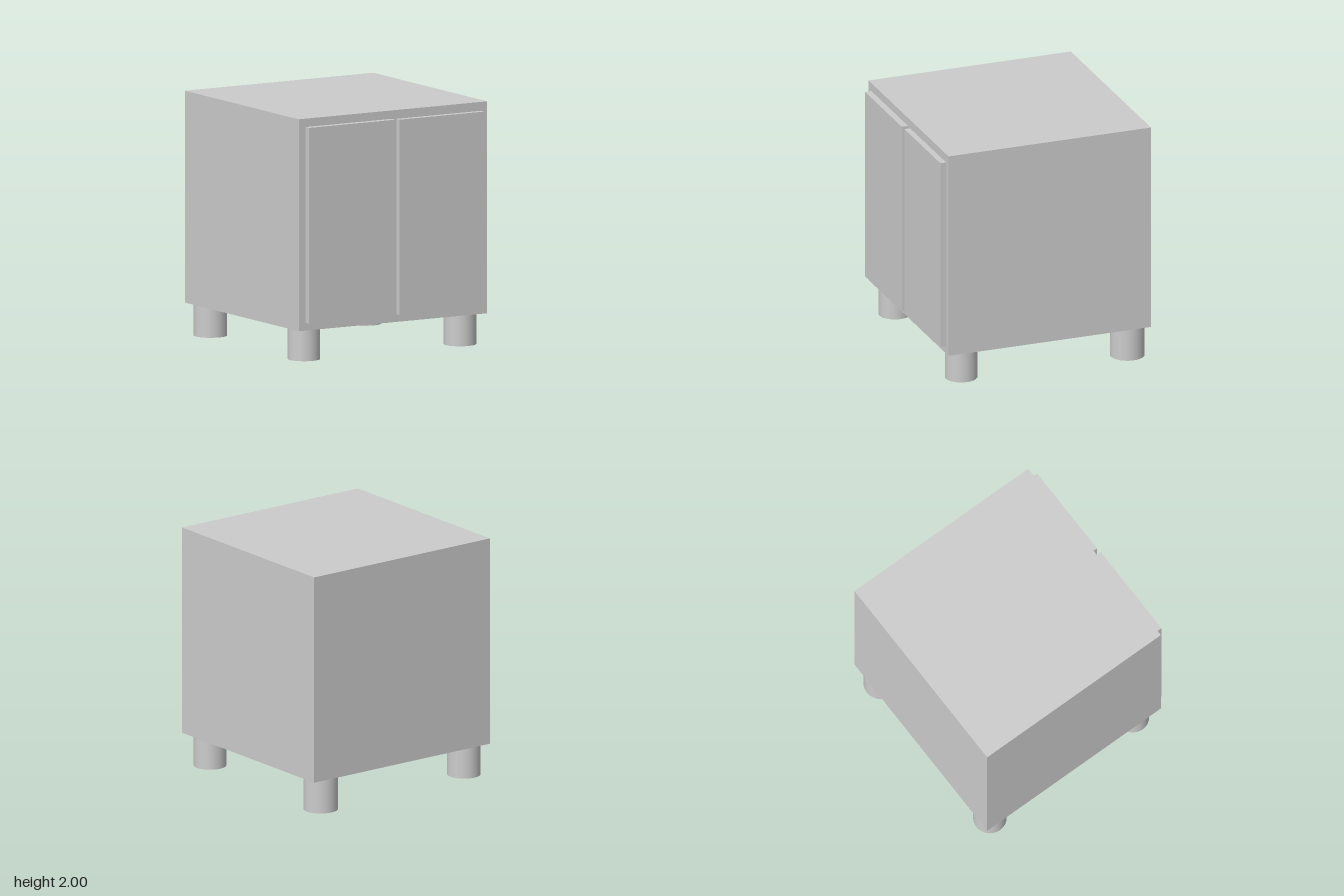
import * as THREE from 'three';

export function createModel() {
  const group = new THREE.Group();
  const material = new THREE.MeshStandardMaterial({ color: 0xcccccc });

  // Box given by its extents on each axis
  function addBox(name, [x0, x1], [y0, y1], [z0, z1]) {
    const mesh = new THREE.Mesh(new THREE.BoxGeometry(x1 - x0, y1 - y0, z1 - z0), material);
    mesh.position.set((x0 + x1) / 2, (y0 + y1) / 2, (z0 + z1) / 2);
    mesh.name = name;
    group.add(mesh);
  }

  // Round leg running from its foot up to the cabinet floor
  const floorY = 0.28;
  function addLeg(name, x, z, radius, footY) {
    const height = floorY - footY;
    const mesh = new THREE.Mesh(new THREE.CylinderGeometry(radius, radius, height, 48), material);
    mesh.position.set(x, footY + height / 2, z);
    mesh.name = name;
    group.add(mesh);
  }

  // Cabinet body
  addBox('cabinetBody', [-0.888, 0.886], [floorY, 2], [-0.897, 0.843]);

  // Pair of raised door panels
  addBox('rightDoor', [-0.825, -0.012], [0.343, 1.932], [0.843, 0.897]);
  addBox('leftDoor', [0.032, 0.831], [0.343, 1.928], [0.843, 0.892]);

  // Four legs, slightly uneven
  addLeg('frontRightLeg', -0.737, 0.676, 0.131, 0.022);
  addLeg('frontLeftLeg', 0.733, 0.676, 0.131, 0.022);
  addLeg('backRightLeg', -0.735, -0.755, 0.135, 0.022);
  addLeg('backLeftLeg', 0.715, -0.76, 0.14, 0);

  return group;
}
